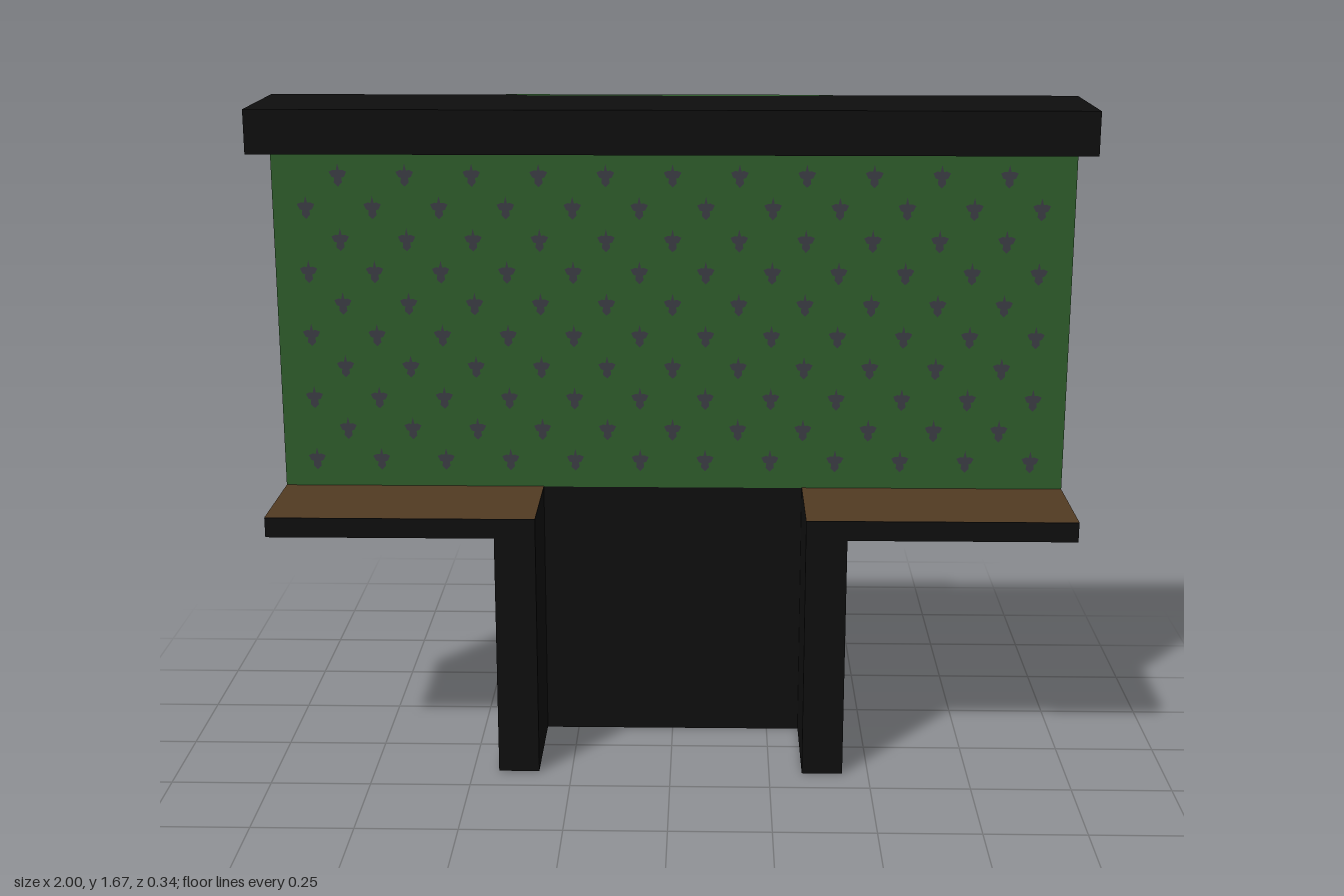
import * as THREE from 'three';
import { mergeGeometries } from 'three/addons/utils/BufferGeometryUtils.js';

const paint = (name, color) => Object.assign(new THREE.MeshStandardMaterial({ color }), { name });

const BACK = -0.167, PANEL = -0.115, FRONT = 0.167; // depths
const SKIN = 0.002;                                  // lift of painted faces

const toShape = pts => new THREE.Shape(pts.map(p => new THREE.Vector2(p[0], p[1])));
const rect = (x0, y0, x1, y1) => [[x0, y0], [x1, y0], [x1, y1], [x0, y1]];

// Flat faces from outlines: front/back use (x, y), top/bottom use (x, z)
const face = {
  front: (pts, z) => new THREE.ShapeGeometry(toShape(pts)).translate(0, 0, z),
  back: (pts, z) => new THREE.ShapeGeometry(toShape(pts.map(([x, y]) => [-x, y])))
    .rotateY(Math.PI).translate(0, 0, z),
  top: (pts, y) => new THREE.ShapeGeometry(toShape(pts.map(([x, z]) => [x, -z])))
    .rotateX(-Math.PI / 2).translate(0, y, 0),
  bottom: (pts, y) => new THREE.ShapeGeometry(toShape(pts)).rotateX(Math.PI / 2).translate(0, y, 0),
};

// Small leafy motif, half outline mirrored
const half = [[0, 0.5], [0.08, 0.2], [0.22, 0.22], [0.42, 0.14], [0.3, -0.08], [0.17, -0.12], [0.2, -0.32], [0, -0.5]];
const leaf = [...half, ...half.slice(1, -1).reverse().map(([x, y]) => [-x, y])];
const motif = (x, y, w, h) => leaf.map(p => [x + p[0] * w, y + p[1] * h]);

export function createModel() {
  const black = paint('black', 0x0e0e0e);
  const green = paint('wallpaperGreen', 0x2e5b2b);
  const charcoal = paint('motifCharcoal', 0x3a3c43);
  const brown = paint('woodBrown', 0x513a22);

  const model = new THREE.Group();
  model.name = 'wallUnit';
  const add = (name, geometry, material) => {
    const mesh = new THREE.Mesh(geometry, material);
    mesh.name = name;
    model.add(mesh);
  };
  const box = (x0, x1, y0, y1, z0, z1) => new THREE.BoxGeometry(x1 - x0, y1 - y0, z1 - z0)
    .translate((x0 + x1) / 2, (y0 + y1) / 2, (z0 + z1) / 2);

  // Upper back panel and overhanging canopy
  add('backPanel', box(-1, 1, 0.62, 1.565, BACK, PANEL), black);
  add('canopy', box(-1, 1, 1.565, 1.67, BACK, FRONT), black);

  // U-shaped base
  const plan = [[-0.435, BACK], [0.435, BACK], [0.435, FRONT], [0.333, FRONT],
    [0.333, PANEL], [-0.333, PANEL], [-0.333, FRONT], [-0.435, FRONT]];
  add('base', new THREE.ExtrudeGeometry(toShape(plan), { depth: 0.62, bevelEnabled: false })
    .rotateX(Math.PI / 2).translate(0, 0.62, 0), black);
  add('baseUnderside', face.bottom(plan, -SKIN / 2), green);

  // Side shelves with wooden tops
  for (const [side, x0, x1] of [['left', 0.333, 1], ['right', -1, -0.333]]) {
    add(side + 'Shelf', box(x0, x1, 0.62, 0.67, PANEL, FRONT), black);
    add(side + 'ShelfTop', face.top(rect(x0, PANEL, x1, FRONT), 0.67 + SKIN / 2), brown);
  }

  // Front wallpaper with staggered motifs
  add('frontWallpaper', face.front(rect(-1, 0.67, 1, 1.565), PANEL + SKIN / 2), green);
  const small = [];
  for (let row = 0; row < 11; row++) {
    const odd = row % 2;
    for (let i = 0; i < 12 - odd; i++) {
      const x = -0.917 + (i + odd / 2) * 0.1667;
      small.push(face.front(motif(x, 1.558 - row * 0.0815, 0.052, 0.058), PANEL + SKIN));
    }
  }
  add('frontMotifs', mergeGeometries(small), charcoal);

  // Painted fields on the back
  add('backLowerWallpaper', face.back([[-0.435, 0], [0.435, 0], [0.435, 0.62], [0.63, 0.62],
    [0.63, 0.845], [-0.435, 0.89]], BACK - SKIN / 2), green);
  add('backWoodField', face.back([[-0.435, 1.025], [0.63, 0.985], [0.62, 1.54], [-0.435, 1.58]],
    BACK - SKIN / 2), brown);
  add('backUpperWallpaper', face.back([[-0.435, 1.58], [0.62, 1.54], [0.62, 1.67], [-0.435, 1.67]],
    BACK - SKIN / 2), green);

  // Larger motifs on the lower back field
  const large = [];
  for (let row = 0; row < 7; row++) {
    for (let col = -2; col < 6; col++) {
      const x = 0.375 - col * 0.131, y = 0.835 - row * 0.13;
      const inside = y > 0.62 ? x < 0.6 : x < 0.4;
      if ((row + col) % 2 === 0 || !inside || x < -0.39 || y < 0.06) continue;
      large.push(face.back(motif(x, y, 0.1, 0.115), BACK - SKIN));
    }
  }
  add('backMotifs', mergeGeometries(large), charcoal);

  // Green edges wrapping onto the canopy top and the left shelf underside
  add('canopyTopTrim', face.top([[-0.42, BACK], [0.42, BACK], [0.34, -0.138], [-0.35, -0.138]],
    1.67 + SKIN / 2), green);
  add('leftShelfUnderside', face.bottom([[0.435, BACK], [0.63, BACK], [0.58, FRONT], [0.435, FRONT]],
    0.62 - SKIN / 2), green);

  return model;
}
